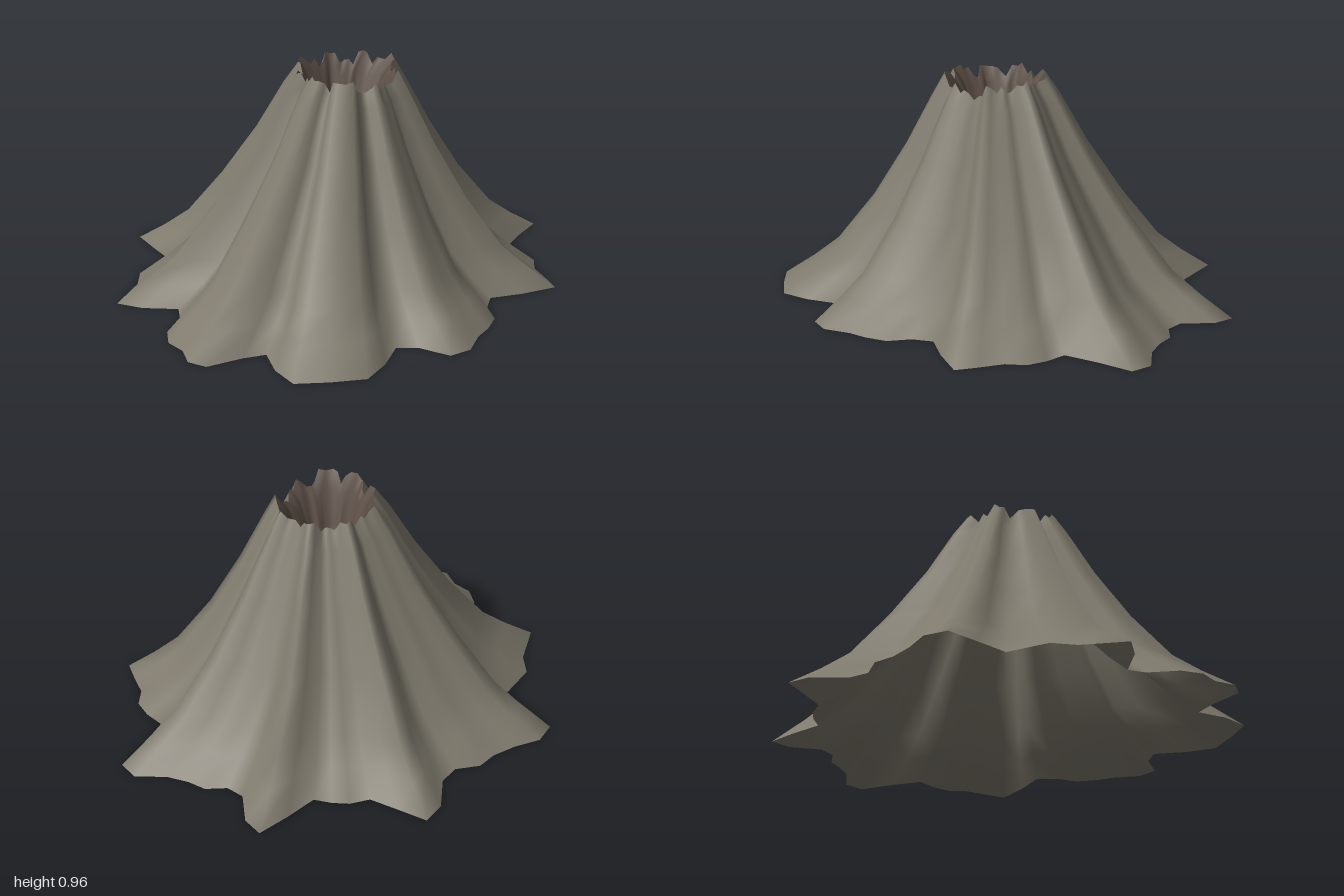
import * as THREE from 'three';

// Foot outline as x, z pairs in hundredths, running clockwise seen from above
const FOOT = [
  -31, -94, -22, -92, -12, -82, -4, -82, 3, -88, 11, -89, 20, -92, 31, -100, 40, -98, 42, -83,
  45, -69, 54, -68, 62, -65, 67, -58, 76, -53, 84, -48, 77, -34, 69, -22, 73, -14, 81, -8,
  84, 1, 85, 9, 89, 20, 86, 29, 73, 32, 66, 38, 71, 51, 73, 64, 64, 75, 54, 85,
  42, 82, 31, 75, 26, 83, 20, 97, 12, 99, 4, 94, -5, 93, -12, 87, -17, 75, -23, 70,
  -35, 79, -46, 83, -53, 65, -60, 57, -61, 39, -75, 35, -88, 31, -89, 21, -83, 11, -79, 1,
  -78, -8, -71, -16, -71, -25, -79, -38, -79, -48, -66, -50, -54, -52, -49, -59, -43, -63, -36, -66,
  -34, -80,
];
const CENTRE = 0.07;
const MEAN = 0.83;

// Polar form of the outline; lobe is positive on ridges, negative in gullies
const spokes = [];
for (let i = 0; i < FOOT.length; i += 2) {
  const x = FOOT[i] / 100 - CENTRE, z = FOOT[i + 1] / 100;
  const r = Math.hypot(x, z);
  spokes.push({ cos: x / r, sin: z / r, lobe: r - MEAN, wave: Math.sin(i * 1.9) });
}

// Rings: height, mean radius, strength of the ridges, ridge lift, x shift
const SLOPE = [
  [0, 0.83, 1, 0, 0],
  [0.09, 0.715, 0.87, 0, 0],
  [0.18, 0.615, 0.76, 0, 0],
  [0.39, 0.475, 0.56, 0, 0],
  [0.63, 0.34, 0.4, 0, 0.01],
  [0.84, 0.24, 0.25, 0.08, 0.015],
  [0.915, 0.195, 0.16, 0.25, 0.02],
];
const CRATER = [
  [0.915, 0.195, 0.16, 0.25, 0.02],
  [0.86, 0.155, 0.12, 0.15, 0.01],
  [0.73, 0.115, 0.1, 0.05, 0],
  [0.63, 0.07, 0.05, 0, 0],
  [0.59, 0.002, 0, 0, 0],
];

// Skin the rings into one smooth closed band
function loft(name, rings, color) {
  const n = spokes.length, position = [], index = [];
  for (const [y, radius, strength, lift, shift] of rings) {
    for (const s of spokes) {
      const r = radius + strength * s.lobe;
      const h = y + lift * (THREE.MathUtils.clamp(s.lobe, -0.16, 0.13) + 0.05 * s.wave);
      position.push(CENTRE + shift + r * s.cos, h, r * s.sin);
    }
  }
  for (let j = 0; j < rings.length - 1; j++) {
    for (let i = 0; i < n; i++) {
      const k = (i + 1) % n;
      const a = j * n + i, b = j * n + k, c = a + n, d = b + n;
      index.push(a, c, b, b, c, d);
    }
  }
  const geometry = new THREE.BufferGeometry();
  geometry.setAttribute('position', new THREE.Float32BufferAttribute(position, 3));
  geometry.setIndex(index);
  geometry.computeVertexNormals();
  const mesh = new THREE.Mesh(geometry,
    new THREE.MeshStandardMaterial({ color, side: THREE.DoubleSide }));
  mesh.name = name;
  return mesh;
}

export function createModel() {
  const group = new THREE.Group();
  group.name = 'volcano';
  // Ridged outer flanks, open underneath
  group.add(loft('slopes', SLOPE, 0x7f7a6d));
  // Funnel inside the jagged rim
  group.add(loft('crater', CRATER, 0x5c4f46));
  return group;
}
